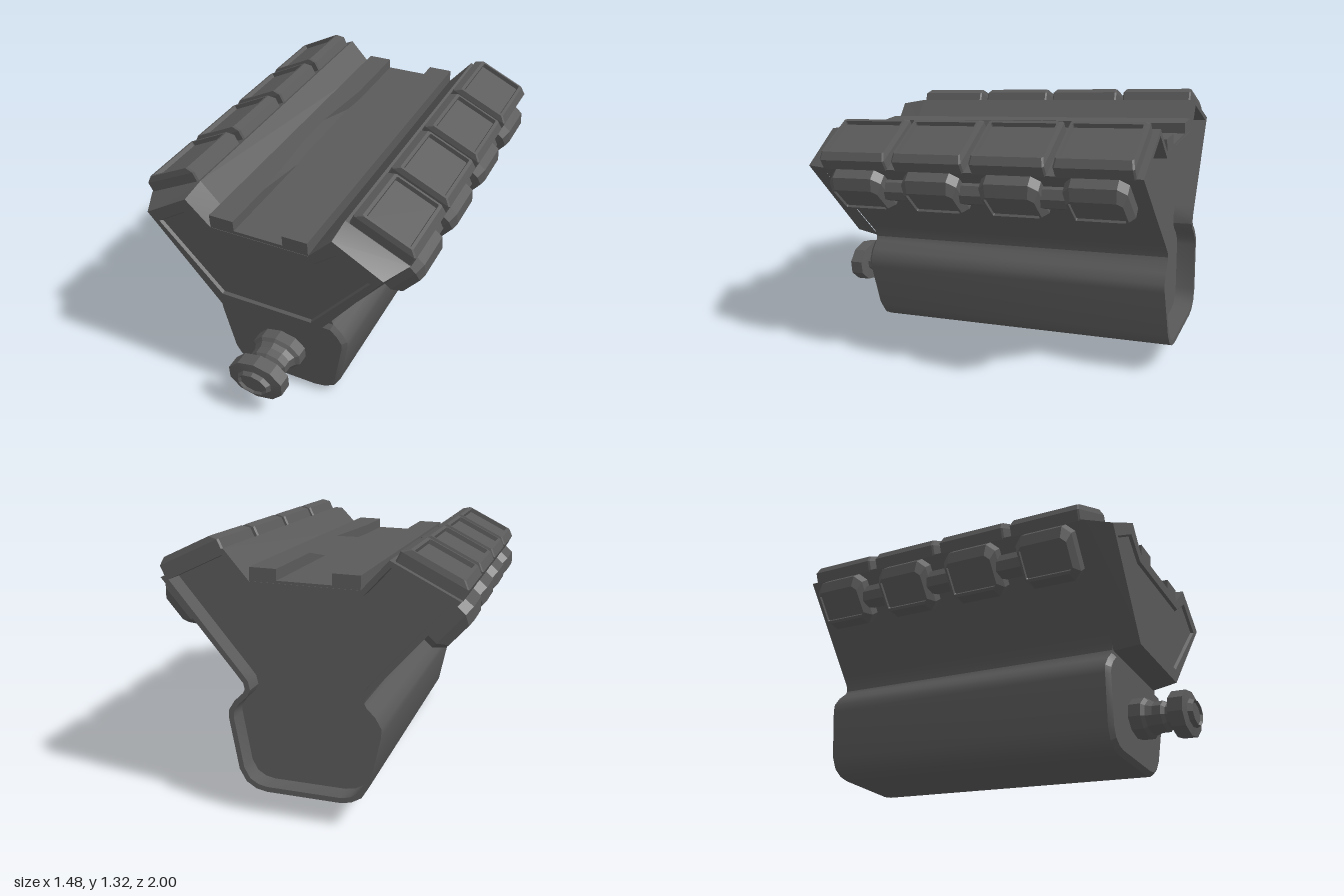
import * as THREE from 'three';
import { toCreasedNormals } from 'three/addons/utils/BufferGeometryUtils.js';

const material = new THREE.MeshStandardMaterial({ color: 0x5a5a5a });
const REAR = -1.005, FRONT = 0.785, SHOULDER = 0.65;
const STATIONS = [0.46, 0.045, -0.37, -0.785]; // cylinder positions along the block

// Full counter-clockwise outline from its right half, listed bottom to top
const mirrored = (half) => [...half, ...half.map(([x, y]) => [-x, y]).reverse()];

// Moves every edge of an outline inward by d
function inset(pts, d) {
  const n = pts.length;
  const normal = (a, b) => {
    const l = Math.hypot(b[0] - a[0], b[1] - a[1]);
    return [(b[1] - a[1]) / l, (a[0] - b[0]) / l];
  };
  return pts.map((p, i) => {
    const u = normal(pts[(i + n - 1) % n], p), v = normal(p, pts[(i + 1) % n]);
    const k = d / (1 + u[0] * v[0] + u[1] * v[1]);
    return [p[0] - k * (u[0] + v[0]), p[1] - k * (u[1] + v[1])];
  });
}

// Skins a list of [outline, z] sections, with optional start cap
function loft(sections, capStart = true, crease = 0.6) {
  const pos = [];
  const put = ([pts, z], i) => pos.push(pts[i][0], pts[i][1], z);
  const n = sections[0][0].length;
  for (let s = 0; s < sections.length - 1; s++) {
    const a = sections[s], b = sections[s + 1];
    for (let i = 0; i < n; i++) {
      const j = (i + 1) % n;
      put(a, i); put(a, j); put(b, j);
      put(a, i); put(b, j); put(b, i);
    }
  }
  const cap = (sec, flip) => {
    const tris = THREE.ShapeUtils.triangulateShape(sec[0].map((p) => new THREE.Vector2(...p)), []);
    for (const t of tris) for (const i of flip ? [t[0], t[2], t[1]] : t) put(sec, i);
  };
  if (capStart) cap(sections[0], true);
  cap(sections[sections.length - 1], false);
  const g = new THREE.BufferGeometry();
  g.setAttribute('position', new THREE.Float32BufferAttribute(pos, 3));
  return toCreasedNormals(g, crease);
}

// Stack of corner-cut rectangles [length, width, height, cut], for lids with a sunken panel
function lid(levels) {
  return loft(levels.map(([l, w, h, c]) => {
    const x = l / 2, y = w / 2;
    return [[[-x, c - y], [c - x, -y], [x - c, -y], [x, c - y],
      [x, y - c], [x - c, y], [c - x, y], [-x, y - c]], h];
  }), true, 0.1);
}

function addMesh(parent, name, geometry) {
  const mesh = new THREE.Mesh(geometry, material);
  mesh.name = name;
  parent.add(mesh);
  return mesh;
}

// Seats a lid on a slanted surface with normal (nx, ny)
function seat(mesh, x, y, z, nx, ny) {
  const n = new THREE.Vector3(nx, ny, 0).normalize();
  const along = new THREE.Vector3(0, 0, 1);
  const m = new THREE.Matrix4().makeBasis(along, n.clone().cross(along), n);
  mesh.quaternion.setFromRotationMatrix(m);
  mesh.position.set(x, y, z);
}

export function createModel() {
  const model = new THREE.Group();
  model.name = 'engine';
  const engine = new THREE.Group();
  engine.name = 'tiltedEngine';
  engine.rotation.x = 0.075;
  model.add(engine);

  // Outlines: rounded sump below, V-shaped block above, meeting at a curved waist
  const sumpHalf = [[0.18, 0.05], [0.235, 0.06], [0.285, 0.09], [0.32, 0.15],
    [0.37, 0.4], [0.37, 0.44], [0.34, 0.49], [0.297, 0.532]];
  const waistHalf = [[0.288, 0.552], [0.295, 0.58], [0.33, 0.622]];
  const veeHalf = [[0.7, 1.05], [0.385, 1.205], [0.26, 1.065]];
  const body = mirrored([...sumpHalf, ...waistHalf, ...veeHalf]);
  const rim = inset(body, 0.025);

  // Main block with a hollow rear face
  addMesh(engine, 'block', loft(
    [[rim, REAR + 0.1], [rim, REAR], [body, REAR], [body, SHOULDER]]));

  // Tapered front of the V with a sunken panel
  const veeBack = mirrored([[0.275, 0.552], ...veeHalf]);
  const veeFront = mirrored([[0.26, 0.573], [0.63, 1.04], [0.385, 1.185], [0.26, 1.06]]);
  const panel = mirrored([[0.25, 0.645], [0.567, 1.005], [0.4, 1.11], [0.28, 1.02]]);
  addMesh(engine, 'frontCover', loft([
    [veeBack, SHOULDER], [veeFront, FRONT],
    [panel, FRONT], [inset(panel, 0.008), FRONT - 0.015]], false, 0.3));

  // Bevelled sump front
  const sump = mirrored(sumpHalf);
  addMesh(engine, 'sumpFront', loft(
    [[sump, SHOULDER], [inset(sump, 0.022), SHOULDER + 0.022]], false, 0.3));

  // Valley floor and the two rails, whose inner edges bow outward midway
  const floor = addMesh(engine, 'valleyFloor', new THREE.BoxGeometry(0.28, 0.03, FRONT - REAR - 0.004));
  floor.position.set(0, 1.062, (FRONT + REAR) / 2);
  const bow = [[REAR + 0.002, 0.13], [-0.56, 0.13], [-0.2, 0.168], [0, 0.168], [0.5, 0.13], [FRONT - 0.002, 0.13]];
  for (const s of [1, -1]) {
    const sections = bow.map(([z, t]) => {
      const pts = [[0.13, 1.05], [0.26, 1.05], [0.26, 1.13], [t, 1.13]].map(([x, y]) => [s * x, y]);
      return [s > 0 ? pts : pts.reverse(), z];
    });
    addMesh(engine, s > 0 ? 'leftRail' : 'rightRail', loft(sections, true, 0.1));
  }

  // Four top covers and four side ports on each bank
  const coverGeometry = lid([[0.375, 0.335, -0.01, 0.008], [0.375, 0.335, 0.046, 0.008], [0.36, 0.268, 0.074, 0.008],
    [0.335, 0.235, 0.074, 0.004], [0.33, 0.23, 0.052, 0.004]]);
  const portGeometry = lid([[0.3, 0.265, -0.01, 0.04], [0.3, 0.265, 0.05, 0.04],
    [0.262, 0.175, 0.094, 0.025], [0.24, 0.145, 0.094, 0.004], [0.235, 0.14, 0.082, 0.004]]);
  for (const s of [1, -1]) {
    const bank = new THREE.Group();
    bank.name = s > 0 ? 'leftBank' : 'rightBank';
    engine.add(bank);
    for (const z of STATIONS) {
      seat(addMesh(bank, 'cylinderCover', coverGeometry), s * 0.553, 1.127, z, s * 0.44, 0.9);
      seat(addMesh(bank, 'exhaustPort', portGeometry), s * 0.611, 0.943, z, s * 0.75, -0.66);
    }
    // Pipe joining the ports
    const pipe = new THREE.CylinderGeometry(0.063, 0.063, STATIONS[0] - STATIONS[3], 8);
    const pipeMesh = addMesh(bank, 'exhaustPipe', toCreasedNormals(pipe, 0.3));
    pipeMesh.rotation.x = Math.PI / 2;
    pipeMesh.position.set(s * 0.62, 0.933, (STATIONS[0] + STATIONS[3]) / 2);
  }

  // Drive shaft: flange, neck and oval knob
  const profile = [[0.1, 0.65], [0.1, 0.735], [0.085, 0.75], [0.075, 0.78], [0.075, 0.825], [0.06, 0.84],
    [0.06, 0.875], [0.112, 0.877], [0.112, 0.95], [0.07, 0.957], [0.06, 0.98], [0.052, 0.968], [0, 0.968]];
  const shaft = addMesh(engine, 'driveShaft', toCreasedNormals(
    new THREE.LatheGeometry(profile.map((p) => new THREE.Vector2(...p)), 10), 0.3));
  shaft.rotation.x = Math.PI / 2;
  shaft.scale.x = 1.41;
  shaft.position.y = 0.288;

  return model;
}
